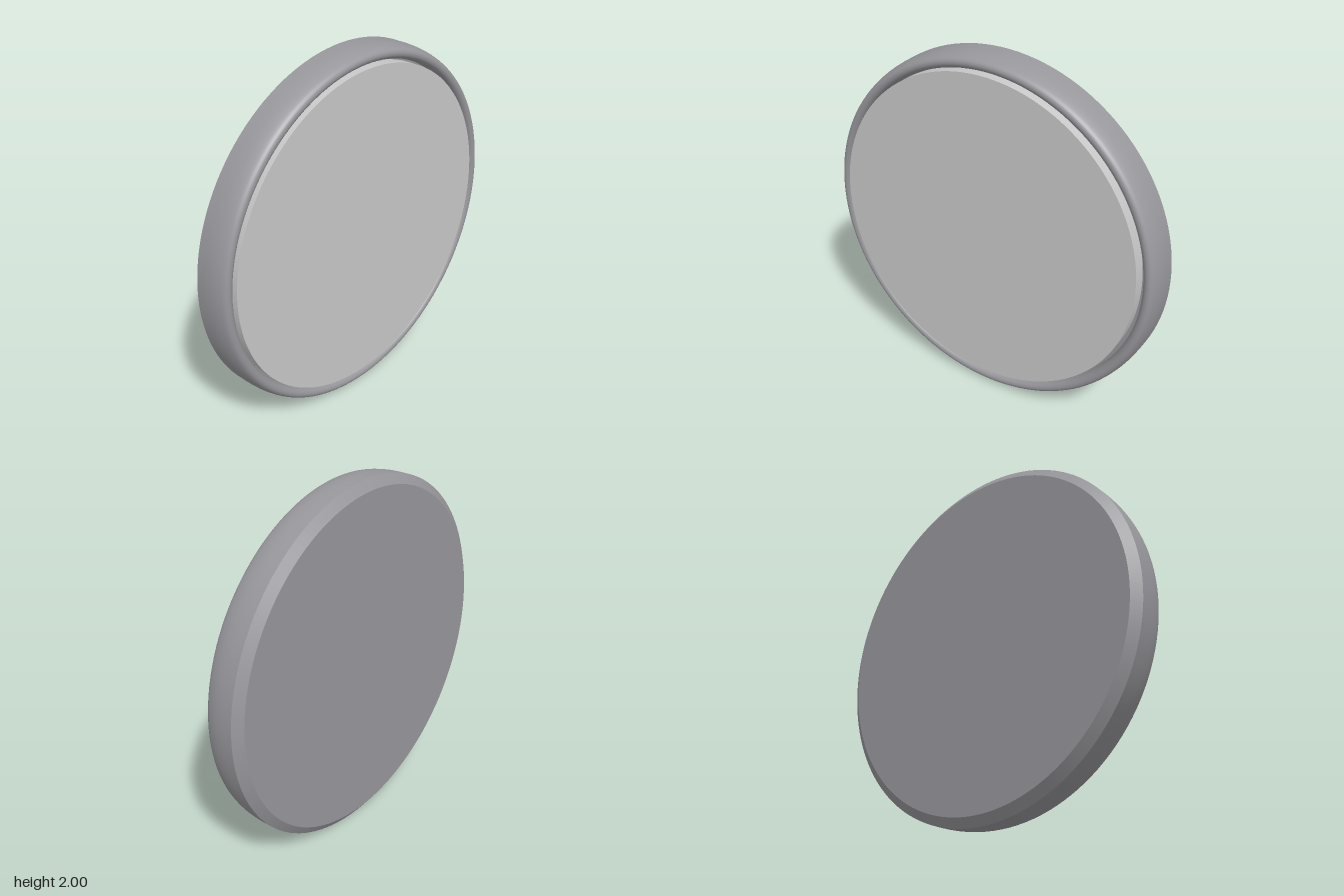
import * as THREE from 'three';

const SEGMENTS = 128;
const casingPaint = new THREE.MeshStandardMaterial({ name: 'casing grey', color: 0x98979c });
const panelPaint = new THREE.MeshStandardMaterial({ name: 'panel light grey', color: 0xc8c8c8 });

// Turns a [radius, x] profile about the x axis; run it from the back (-x) to the front.
function turned(name, profile, material) {
  const points = profile.map(([r, x]) => new THREE.Vector2(r, x));
  const geometry = new THREE.LatheGeometry(points, SEGMENTS).rotateZ(-Math.PI / 2);
  const mesh = new THREE.Mesh(geometry, material);
  mesh.name = name;
  mesh.position.y = 1;
  return mesh;
}

export function createModel() {
  const model = new THREE.Group();
  model.name = 'roundDisc';

  // flat back and its bevelled edge
  model.add(turned('backPlate', [[0, -0.113], [0.95, -0.113]], casingPaint));
  model.add(turned('backBevel', [[0.95, -0.113], [1, -0.077]], casingPaint));

  // outer wall, slightly bowed, rolling over into the recess
  const roll = new THREE.SplineCurve([
    [1, -0.077], [1, -0.02], [0.996, 0.035], [0.985, 0.08], [0.972, 0.1],
    [0.955, 0.106], [0.938, 0.1], [0.926, 0.083], [0.921, 0.06],
  ].map(([r, x]) => new THREE.Vector2(r, x)));
  const rimProfile = roll.getPoints(40).map((p) => [Math.min(p.x, 1), p.y]);
  model.add(turned('roundedRim', rimProfile, casingPaint));

  // recess behind the panel
  model.add(turned('recessWall', [[0.921, 0.06], [0.921, 0.04]], casingPaint));
  model.add(turned('recessFloor', [[0.921, 0.04], [0, 0.04]], casingPaint));

  // inset panel, set a little off centre in the recess
  const panel = new THREE.Group();
  panel.name = 'panel';
  panel.add(turned('panelEdge', [[0.91, 0.04], [0.91, 0.112]], panelPaint));
  panel.add(turned('panelFace', [[0.91, 0.112], [0, 0.112]], panelPaint));
  panel.position.set(0, 0.004, 0.009);
  model.add(panel);

  return model;
}
